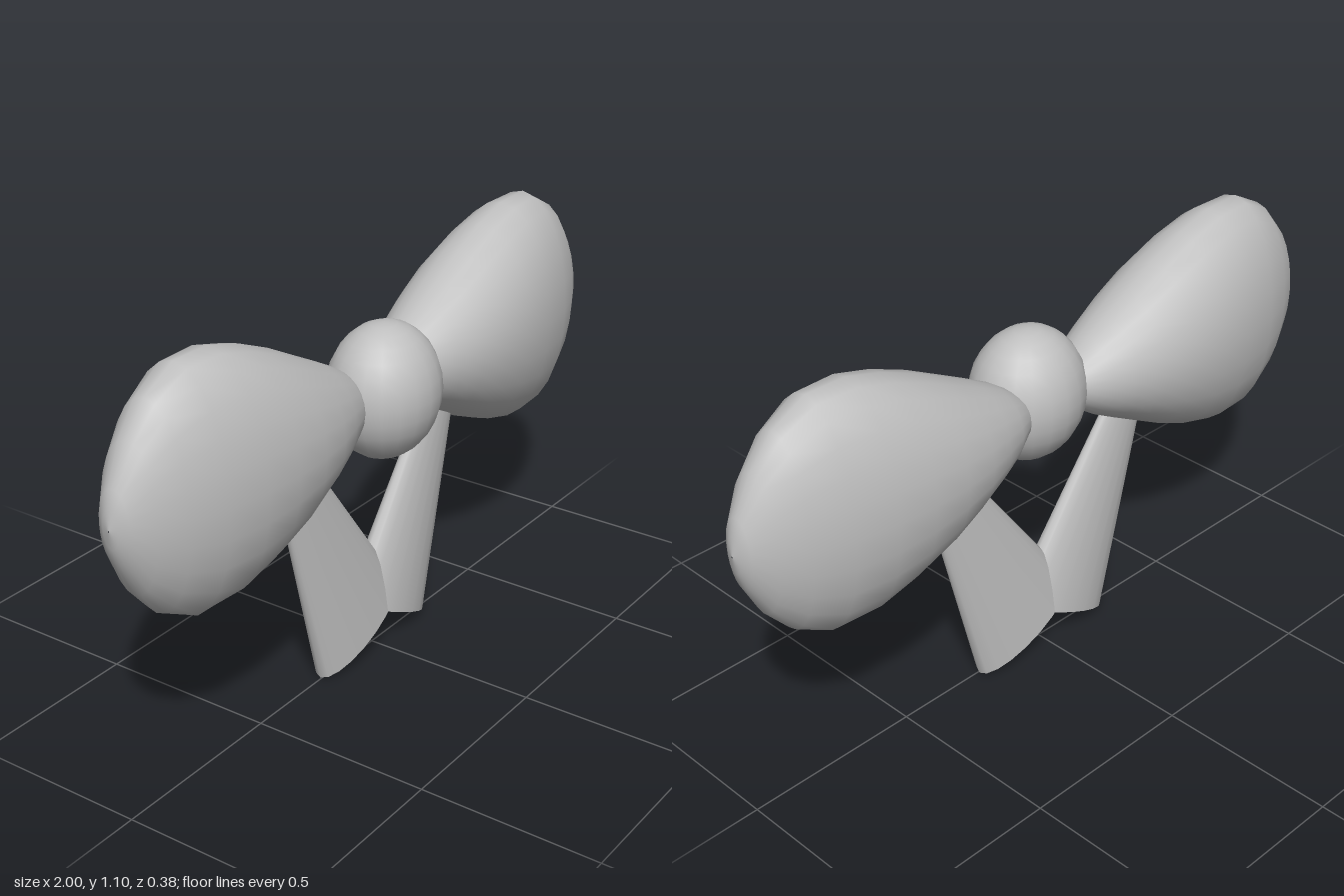
import * as THREE from 'three';

const CENTRE_Y = 0.785;

// Closed smooth skin over elliptical rings [x, half height, half depth]
function loftAlongX(rings, sides) {
  const pos = [], index = [];
  for (const [x, h, d] of rings) {
    for (let i = 0; i < sides; i++) {
      const a = (i / sides) * Math.PI * 2;
      pos.push(x, h * Math.cos(a), d * Math.sin(a));
    }
  }
  for (let r = 0; r < rings.length - 1; r++) {
    for (let i = 0; i < sides; i++) {
      const j = (i + 1) % sides;
      const a = r * sides + i, b = r * sides + j;
      index.push(a, b, b + sides, a, b + sides, a + sides);
    }
  }
  const g = new THREE.BufferGeometry();
  g.setAttribute('position', new THREE.Float32BufferAttribute(pos, 3));
  g.setIndex(index);
  g.computeVertexNormals();
  return g;
}

export function createModel() {
  const model = new THREE.Group();
  model.name = 'bowTie';
  const cloth = new THREE.MeshStandardMaterial({ color: 0xc0c0c0 });
  cloth.name = 'greyCloth';

  // Teardrop bow loop, narrow at the knot and broad at the outer end
  const wingGeometry = loftAlongX([
    [0.06, 0.002, 0.002], [0.075, 0.035, 0.035], [0.11, 0.07, 0.075],
    [0.17, 0.112, 0.108], [0.24, 0.15, 0.134], [0.32, 0.192, 0.158],
    [0.42, 0.245, 0.175], [0.53, 0.293, 0.18], [0.64, 0.326, 0.173],
    [0.76, 0.328, 0.154], [0.86, 0.275, 0.12], [0.93, 0.195, 0.085],
    [0.98, 0.098, 0.047], [0.993, 0.05, 0.024], [1.0, 0.002, 0.002],
  ], 24);

  // Hanging ribbon: flattened tapering cone with its broad end down
  const low = new THREE.Vector2(0.065, 0.09);
  const high = new THREE.Vector2(0.336, 0.654);
  const axis = high.clone().sub(low);
  const tailGeometry = new THREE.CylinderGeometry(0.069, 0.188, axis.length(), 20);
  tailGeometry.scale(1, 1, 0.35);

  for (const [side, sign] of [['left', 1], ['right', -1]]) {
    const wing = new THREE.Mesh(wingGeometry, cloth);
    wing.name = side + 'Loop';
    wing.position.set(0, CENTRE_Y, -0.01);
    wing.rotation.y = sign > 0 ? 0 : Math.PI;
    model.add(wing);

    const tail = new THREE.Mesh(tailGeometry, cloth);
    tail.name = side + 'Tail';
    tail.position.set(sign * (low.x + high.x) / 2, (low.y + high.y) / 2, -0.005);
    tail.rotation.z = -sign * Math.atan2(axis.x, axis.y);
    model.add(tail);
  }

  // Central knot, set slightly forward
  const knot = new THREE.Mesh(new THREE.SphereGeometry(1, 20, 14), cloth);
  knot.name = 'knot';
  knot.scale.set(0.168, 0.187, 0.148);
  knot.position.set(0, CENTRE_Y, 0.039);
  model.add(knot);

  return model;
}
